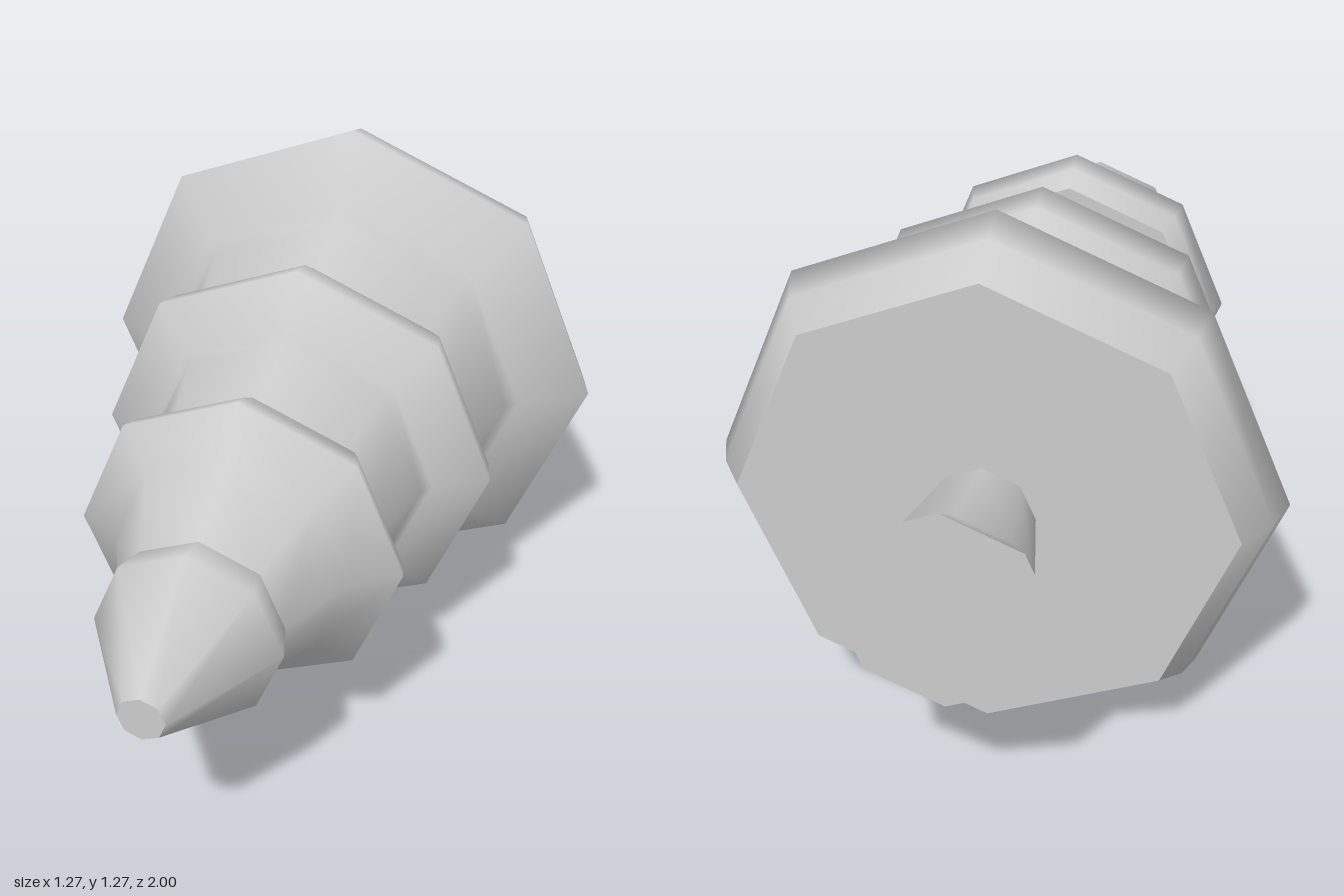
import * as THREE from 'three';

const SIDES = 8;
const AXIS_HEIGHT = 0.635;
const material = new THREE.MeshStandardMaterial({ color: 0xcccccc });

// Octagonal solid around the z axis; profile is [z, radius] from back to front
function turned(name, profile) {
  const group = new THREE.Group();
  group.name = name;

  const points = profile.map(([z, r]) => new THREE.Vector2(r, z));
  const side = new THREE.Mesh(new THREE.LatheGeometry(points, SIDES).rotateX(Math.PI / 2), material);
  side.name = name + 'Side';
  group.add(side);

  // Flat, sharp-edged ends
  const [backZ, backR] = profile[0];
  const [frontZ, frontR] = profile[profile.length - 1];
  const back = new THREE.Mesh(new THREE.CircleGeometry(backR, SIDES).rotateY(Math.PI), material);
  back.position.z = backZ;
  back.name = name + 'Base';
  const front = new THREE.Mesh(new THREE.CircleGeometry(frontR, SIDES), material);
  front.position.z = frontZ;
  front.name = name + 'Tip';
  group.add(back, front);
  return group;
}

export function createModel() {
  const tree = new THREE.Group();
  tree.name = 'fallenTree';

  const parts = {
    // Trunk with flared foot
    trunk: [[-1, 0.237], [-0.9, 0.165], [-0.64, 0.112]],
    // Foliage tiers, each with a flared brim, the front end sunk in the next tier
    bottomTier: [[-0.65, 0.55], [-0.565, 0.607], [-0.485, 0.635], [-0.385, 0.475], [-0.355, 0.447], [-0.15, 0.393]],
    lowerTier: [[-0.165, 0.42], [-0.1, 0.462], [-0.03, 0.481], [0.035, 0.357], [0.06, 0.338], [0.3, 0.277]],
    upperTier: [[0.29, 0.333], [0.34, 0.363], [0.39, 0.38], [0.455, 0.276], [0.655, 0.183]],
    topTier: [[0.645, 0.19], [0.73, 0.213], [1, 0.053]],
  };
  for (const [name, profile] of Object.entries(parts)) {
    const part = turned(name, profile);
    part.position.y = AXIS_HEIGHT;
    tree.add(part);
  }
  return tree;
}
